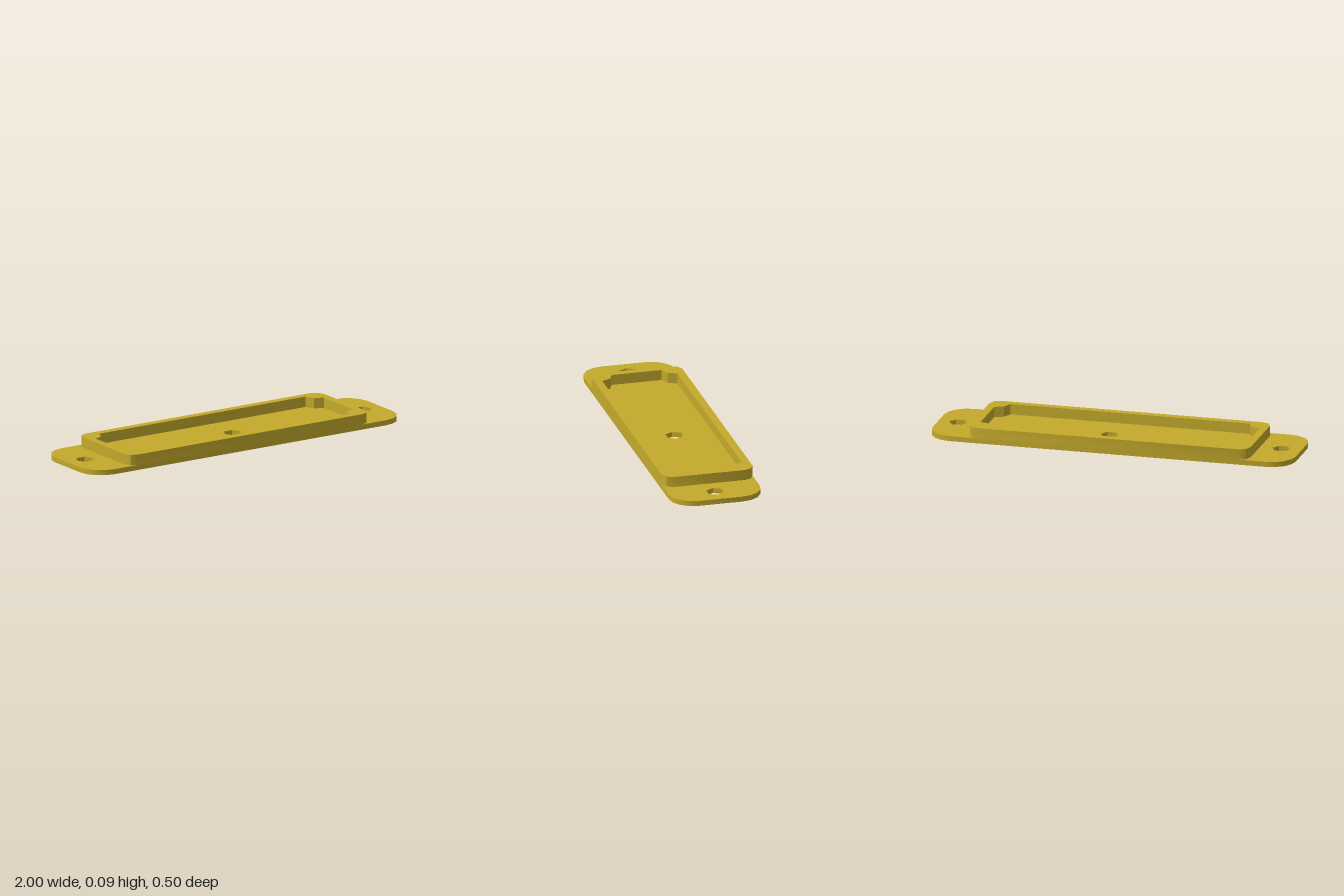
import * as THREE from 'three';
import { toCreasedNormals } from 'three/addons/utils/BufferGeometryUtils.js';

const PLATE_H = 0.028, TOTAL_H = 0.085, HALF_Z = 0.25;

// Rectangle whose corners are arcs in a few straight steps.
// Convex corners are rounded; concave ones leave room for a boss centred on the corner.
function corneredPoints(hx, hz, r, steps, concave = false) {
  const pts = [];
  for (let q = 0; q < 4; q++) {
    const sx = q === 0 || q === 3 ? 1 : -1;
    const sz = q < 2 ? 1 : -1;
    const inset = concave ? 0 : r;
    for (let i = 0; i <= steps; i++) {
      const t = i / steps;
      const a = concave
        ? (q * Math.PI) / 2 + Math.PI * 1.5 - (t * Math.PI) / 2
        : ((q + t) * Math.PI) / 2;
      pts.push(new THREE.Vector2(
        sx * (hx - inset) + r * Math.cos(a),
        sz * (hz - inset) + r * Math.sin(a)));
    }
  }
  return pts;
}

function hexHole(x, r = 0.05) {
  const pts = [];
  for (let i = 0; i < 6; i++) {
    const a = (i * Math.PI) / 3;
    pts.push(new THREE.Vector2(x + r * Math.cos(a), r * Math.sin(a)));
  }
  return new THREE.Path(pts);
}

// Extrude a plan outline upwards, smooth only on the gentle corner steps
function slab(name, outline, holes, y0, y1, material) {
  const shape = new THREE.Shape(outline);
  shape.holes.push(...holes);
  const geo = new THREE.ExtrudeGeometry(shape, { depth: y1 - y0, bevelEnabled: false });
  geo.rotateX(-Math.PI / 2);
  geo.translate(0, y0, 0);
  const mesh = new THREE.Mesh(toCreasedNormals(geo, 0.6), material);
  mesh.name = name;
  return mesh;
}

export function createModel() {
  const group = new THREE.Group();
  group.name = 'mountingTray';
  const mustard = new THREE.MeshStandardMaterial({ color: 0xc4aa2c });
  mustard.name = 'mustard';

  // Flat base with two screw holes and one off-centre cable hole
  group.add(slab('basePlate', corneredPoints(1, HALF_Z, 0.13, 4),
    [-0.89, 0.055, 0.89].map((x) => hexHole(x)), 0, PLATE_H, mustard));

  // Raised rim around a pocket, with a boss in each inner corner
  const pocket = new THREE.Path(corneredPoints(0.73, 0.207, 0.07, 2, true));
  group.add(slab('raisedRim', corneredPoints(0.772, HALF_Z, 0.055, 2),
    [pocket], PLATE_H, TOTAL_H, mustard));

  return group;
}
